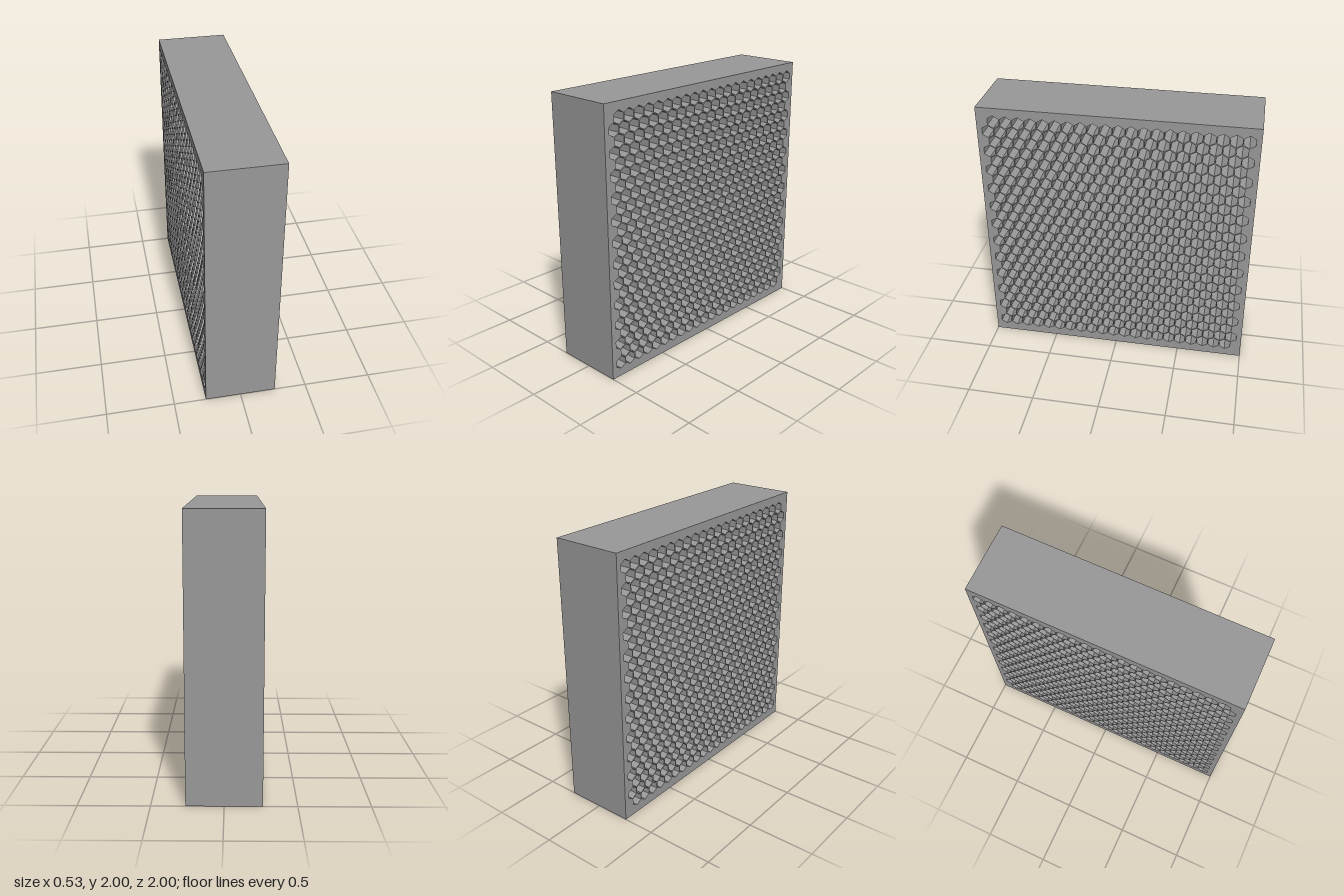
import * as THREE from 'three';

// Square honeycomb block, pierced from side to side along x
const DEPTH = 0.527;
const COLS = 21;
const ROWS = 24;
const PITCH = 0.0898;
const ROW_STEP = PITCH * Math.sqrt(3) / 2;
const CELL_RADIUS = 0.0475;

// Pointy-topped hexagonal hole
function hexagon(cx, cy, r) {
  const points = [];
  for (let i = 0; i < 6; i++) {
    const a = -(i + 0.5) * Math.PI / 3;
    points.push(new THREE.Vector2(cx + r * Math.cos(a), cy + r * Math.sin(a)));
  }
  return new THREE.Path(points);
}

export function createModel() {
  const group = new THREE.Group();
  group.name = 'honeycombBlock';

  const grey = new THREE.MeshStandardMaterial({ color: 0x999999 });
  grey.name = 'grey';

  // Square outline; shape x becomes -z after turning
  const outline = new THREE.Shape([
    new THREE.Vector2(-1, 0), new THREE.Vector2(1, 0),
    new THREE.Vector2(1, 2), new THREE.Vector2(-1, 2),
  ]);

  // Staggered rows of cells
  for (let row = 0; row < ROWS; row++) {
    const shift = (row % 2 ? 1 : -1) * PITCH / 4;
    const y = 1 + (row - (ROWS - 1) / 2) * ROW_STEP;
    for (let col = 0; col < COLS; col++) {
      const x = (col - (COLS - 1) / 2) * PITCH + shift;
      outline.holes.push(hexagon(x, y, CELL_RADIUS));
    }
  }

  const geometry = new THREE.ExtrudeGeometry(outline, { depth: DEPTH, bevelEnabled: false });
  geometry.translate(0, 0, -DEPTH / 2);
  geometry.rotateY(Math.PI / 2);

  const block = new THREE.Mesh(geometry, grey);
  block.name = 'honeycombFrame';
  group.add(block);
  return group;
}
